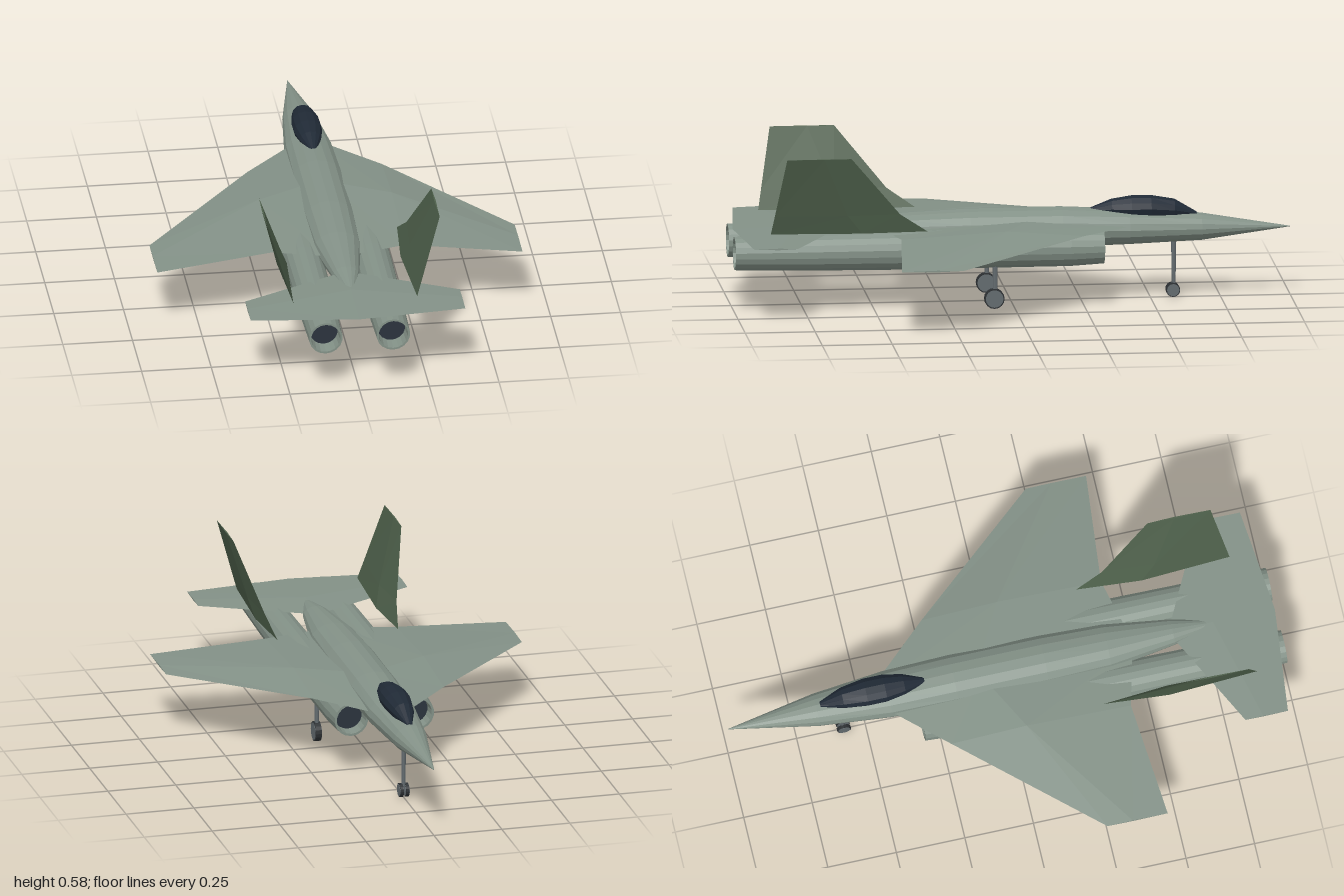
import * as THREE from 'three';

const V = (x, y, z) => new THREE.Vector3(x, y, z);
const paint = (name, color) => {
  const m = new THREE.MeshStandardMaterial({ color, side: THREE.DoubleSide });
  m.name = name;
  return m;
};

// Faceted normals
function facet(geo) {
  const g = geo.index ? geo.toNonIndexed() : geo;
  g.computeVertexNormals();
  return g;
}

// Skin over equal-length rings, with both ends closed
function loft(rings) {
  const pos = [], n = rings[0].length;
  const tri = (...pts) => pts.forEach(p => pos.push(p.x, p.y, p.z));
  for (let i = 0; i < rings.length - 1; i++) {
    const a = rings[i], b = rings[i + 1];
    for (let j = 0; j < n; j++) {
      const k = (j + 1) % n;
      tri(a[j], a[k], b[k]);
      tri(a[j], b[k], b[j]);
    }
  }
  const first = rings[0], last = rings[rings.length - 1];
  for (let j = 1; j < n - 1; j++) {
    tri(first[0], first[j + 1], first[j]);
    tri(last[0], last[j], last[j + 1]);
  }
  const g = new THREE.BufferGeometry();
  g.setAttribute('position', new THREE.Float32BufferAttribute(pos, 3));
  g.computeVertexNormals();
  return g;
}

// Body of elliptical sections [z, halfWidth, bottom, top]
const ellipses = (sections, sides) => loft(sections.map(([z, w, lo, hi]) =>
  Array.from({ length: sides }, (_, i) => {
    const t = (i / sides) * Math.PI * 2;
    return V(w * Math.cos(t), (lo + hi) / 2 + (hi - lo) / 2 * Math.sin(t), z);
  })));

// Diamond-section panel; s = +1 or -1 picks the side
function panel(sections, s, upright) {
  return loft(sections.map(([x, y, lead, trail, t]) => {
    const mid = lead + (trail - lead) * 0.42;
    const ring = upright
      ? [V(x, y, lead), V(x - t, y, mid), V(x, y, trail), V(x + t, y, mid)]
      : [V(x, y, lead), V(x, y + t, mid), V(x, y, trail), V(x, y - t, mid)];
    ring.forEach(p => { p.x *= s; });
    return s < 0 ? ring.reverse() : ring;
  }));
}

export function createModel() {
  const model = new THREE.Group();
  model.name = 'jetAircraft';
  const body = paint('bodyGrey', 0x839187);
  const green = paint('finGreen', 0x4d5f4a);
  const glass = paint('canopyGlass', 0x202a36);
  const dark = paint('ductDark', 0x2b333d);
  const metal = paint('strutGrey', 0x626a6e);
  const rubber = paint('tyreBlack', 0x2c3033);

  const add = (name, geo, mat, x = 0, y = 0, z = 0, parent = model) => {
    const mesh = new THREE.Mesh(geo, mat);
    mesh.name = name;
    mesh.position.set(x, y, z);
    parent.add(mesh);
    return mesh;
  };

  // Fuselage, nose towards -z
  add('fuselage', ellipses([
    [-1, 0.001, 0.247, 0.249], [-0.68, 0.06, 0.205, 0.303],
    [-0.42, 0.087, 0.196, 0.322], [-0.18, 0.092, 0.19, 0.335],
    [0.15, 0.092, 0.19, 0.335], [0.38, 0.084, 0.2, 0.325],
    [0.62, 0.048, 0.235, 0.305], [0.8, 0.002, 0.272, 0.276],
  ], 16), body);

  // Canopy
  add('canopy', ellipses([
    [-0.665, 0.01, 0.296, 0.308], [-0.585, 0.038, 0.284, 0.356],
    [-0.5, 0.051, 0.285, 0.371], [-0.43, 0.051, 0.285, 0.371],
    [-0.36, 0.038, 0.295, 0.36], [-0.285, 0.01, 0.315, 0.33],
  ], 12), glass);

  // Engine duct profile: intake lip, outer skin, nozzle lip
  const duct = [
    [0.05, -0.25], [0.054, -0.32], [0.062, -0.32], [0.069, -0.2], [0.07, 0.4],
    [0.067, 0.7], [0.06, 1], [0.053, 1], [0.049, 0.92],
  ].map(([r, y]) => new THREE.Vector2(r, y));

  const wheel = (name, x, y, z, r, w) => {
    const g = new THREE.Group();
    g.name = name;
    g.position.set(x, y, z);
    model.add(g);
    add('tyre', facet(new THREE.CylinderGeometry(r, r, w, 16).rotateZ(Math.PI / 2)), rubber, 0, 0, 0, g);
    add('hub', facet(new THREE.CylinderGeometry(r * 0.88, r * 0.88, w + 0.003, 16).rotateZ(Math.PI / 2)), metal, 0, 0, 0, g);
  };

  for (const s of [1, -1]) {
    const side = s > 0 ? 'left' : 'right';

    // Main wing, level inboard and drooping to the tip
    add(side + 'Wing', panel([
      [0.02, 0.272, -0.48, 0.47, 0.027],
      [0.24, 0.275, -0.24, 0.415, 0.022],
      [0.655, 0.241, 0.235, 0.455, 0.003],
    ], s), body);

    // Tailplane
    add(side + 'Tailplane', panel([
      [0, 0.278, 0.605, 0.995, 0.008],
      [0.385, 0.278, 0.8, 0.955, 0.003],
    ], s), body);

    // Canted fin with a swept root extension
    add(side + 'Fin', panel([
      [0.222, 0.3, 0.32, 0.88, 0.018],
      [0.243, 0.368, 0.42, 0.868, 0.014],
      [0.309, 0.585, 0.6, 0.83, 0.003],
    ], s, true), green);

    // Engine with recessed dark faces at both ends
    add(side + 'Engine', facet(new THREE.LatheGeometry(duct, 18).rotateX(Math.PI / 2)), body, s * 0.121, 0.213, 0);
    add(side + 'IntakeFace', new THREE.CircleGeometry(0.052, 18).rotateY(Math.PI), dark, s * 0.121, 0.213, -0.27);
    add(side + 'NozzleFace', new THREE.CircleGeometry(0.051, 18), dark, s * 0.121, 0.213, 0.94);

    // Main gear
    add(side + 'MainStrut', facet(new THREE.CylinderGeometry(0.009, 0.008, 0.14, 8)), metal, s * 0.145, 0.1, 0.07);
    wheel(side + 'MainWheel', s * 0.145, 0.036, 0.073, 0.036, 0.022);

    // Twin nose wheels
    wheel(side + 'NoseWheel', s * 0.0105, 0.027, -0.58, 0.025, 0.012);
  }

  // Nose gear
  add('noseStrut', facet(new THREE.CylinderGeometry(0.009, 0.007, 0.2, 8)), metal, 0, 0.122, -0.583);

  return model;
}
